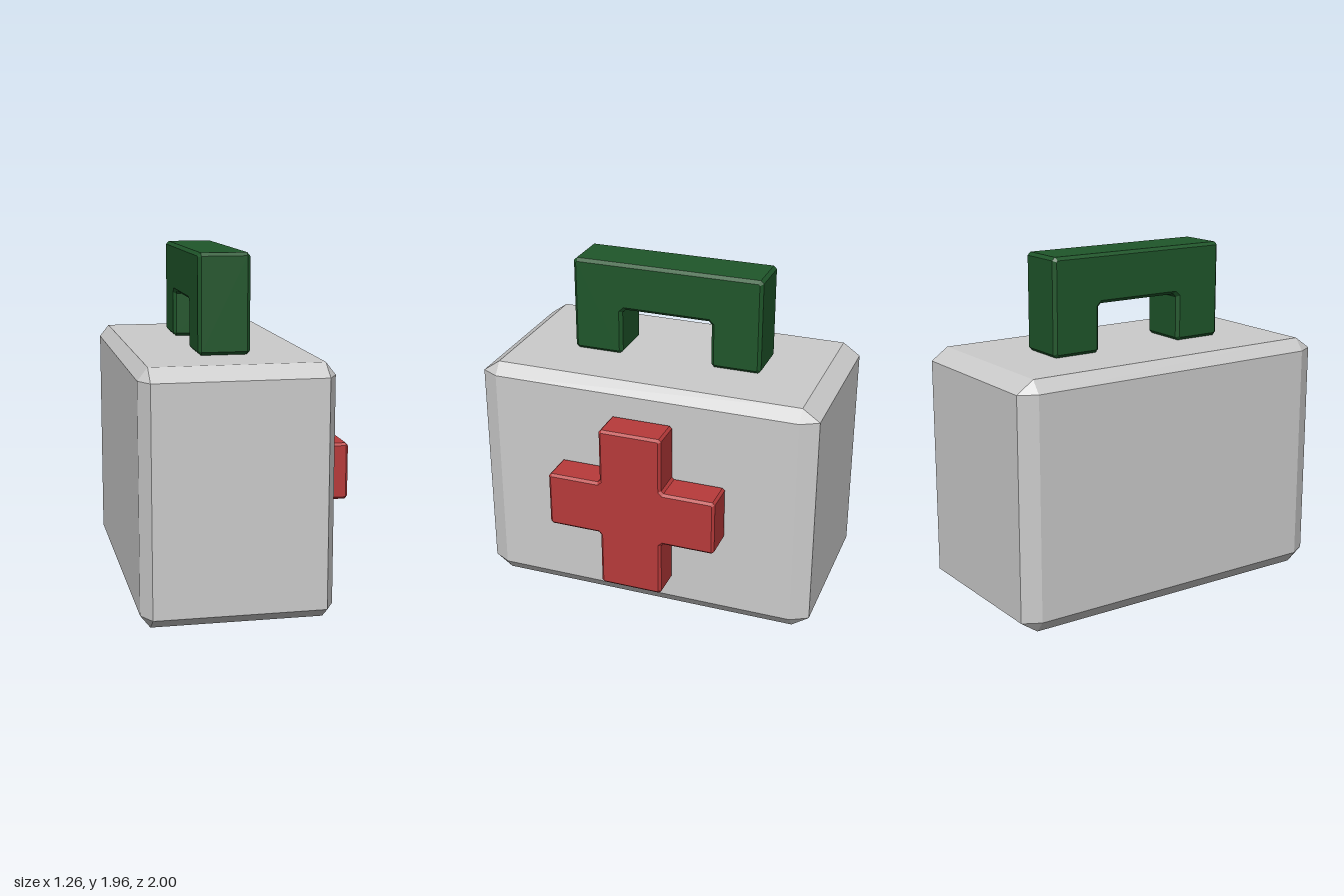
import * as THREE from 'three';
import { ConvexGeometry } from 'three/addons/geometries/ConvexGeometry.js';

const material = (color) => new THREE.MeshStandardMaterial({ color, flatShading: true });

// Box with flat-cut edges and triangular corners; half sizes h, cuts c per axis
function chamferedBox(h, c) {
  const points = [];
  for (const sx of [-1, 1]) for (const sy of [-1, 1]) for (const sz of [-1, 1]) {
    for (let face = 0; face < 3; face++) {
      // Each corner has one point on each of its three faces
      const p = h.map((v, i) => (i === face ? v : v - c[i]));
      points.push(new THREE.Vector3(sx * p[0], sy * p[1], sz * p[2]));
    }
  }
  return new ConvexGeometry(points);
}

// Outline with every corner cut off at distance c
function chamferedShape(corners, c) {
  const pts = corners.map(([x, y]) => new THREE.Vector2(x, y));
  const n = pts.length;
  const cut = [];
  pts.forEach((p, i) => {
    for (const q of [pts[(i + n - 1) % n], pts[(i + 1) % n]]) {
      cut.push(q.clone().sub(p).setLength(c).add(p));
    }
  });
  return new THREE.Shape(cut);
}

// Bevelled plate from a (z, y) outline, spanning x0 to x1
function sidePlate(corners, x0, x1, bevel) {
  const geometry = new THREE.ExtrudeGeometry(chamferedShape(corners, bevel), {
    depth: x1 - x0 - 2 * bevel,
    bevelThickness: bevel,
    bevelSize: bevel,
    bevelOffset: -bevel,
    bevelSegments: 1,
  });
  return geometry.rotateY(Math.PI / 2).translate(x0 + bevel, 0, 0);
}

export function createModel() {
  const group = new THREE.Group();
  const add = (name, geometry, color) => {
    const mesh = new THREE.Mesh(geometry, material(color));
    mesh.name = name;
    group.add(mesh);
    return mesh;
  };

  // Case body
  add('caseBody', chamferedBox([0.5275, 0.7, 1], [0.055, 0.07, 0.1]), 0xcccccc)
    .position.set(-0.1025, 0.7, 0);

  // Carrying handle: upside-down U standing on the lid
  const out = 0.565, inn = 0.27, foot = 1.4, under = 1.675, top = 1.955;
  add('handle', sidePlate([
    [-out, foot], [-inn, foot], [-inn, under], [inn, under],
    [inn, foot], [out, foot], [out, top], [-out, top],
  ], -0.25, 0.04, 0.018), 0x1f562a);

  // Raised cross on the left side
  const arm = 0.497, w = 0.183, lo = 0.54, hi = 0.867, base = 0.205, tip = 1.2;
  add('cross', sidePlate([
    [-w, base], [w, base], [w, lo], [arm, lo], [arm, hi], [w, hi],
    [w, tip], [-w, tip], [-w, hi], [-arm, hi], [-arm, lo], [-w, lo],
  ], 0.424, 0.626, 0.014), 0xb83a3a);

  return group;
}
